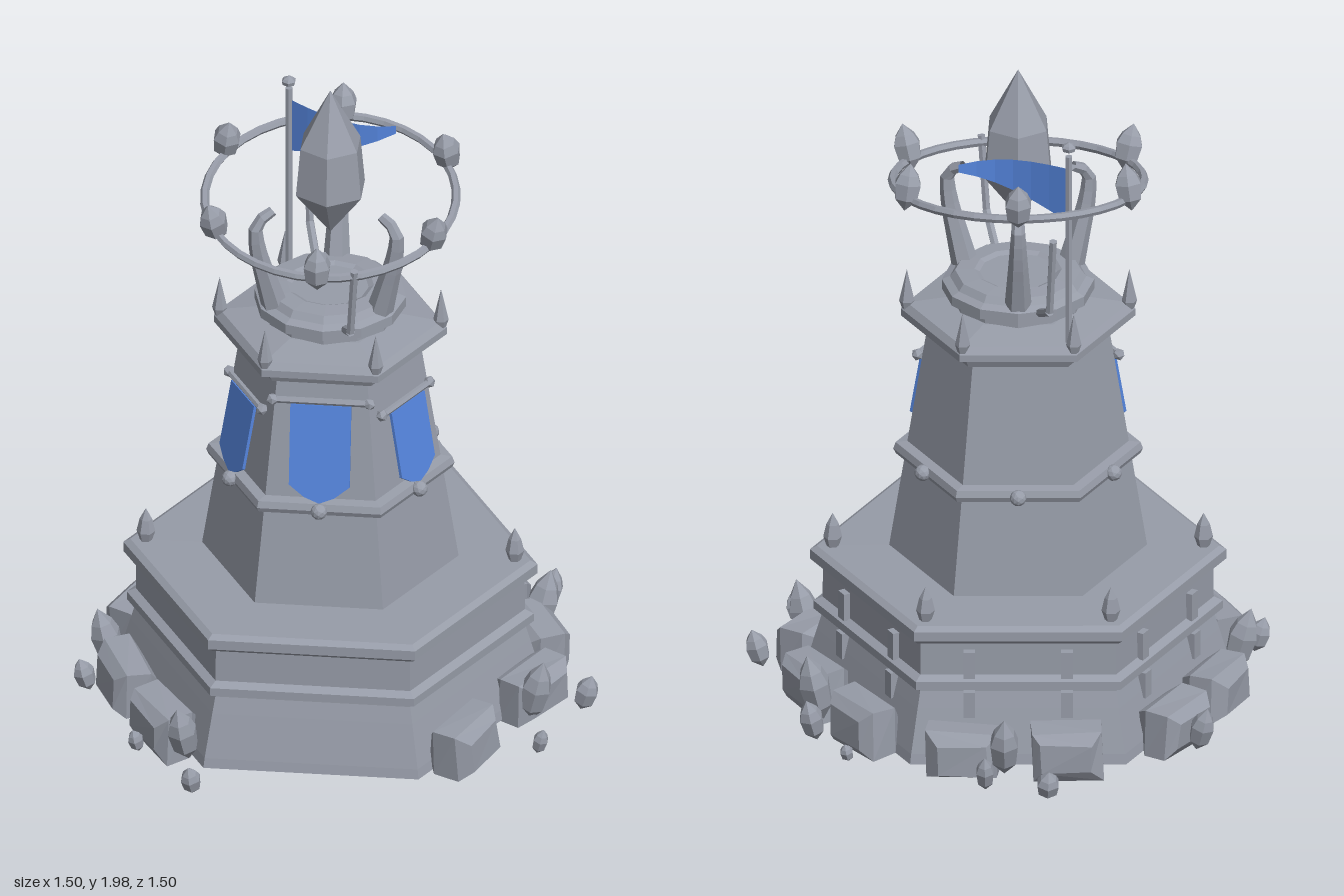
import * as THREE from 'three';

const stone = new THREE.MeshStandardMaterial({ color: 0x979ca8, flatShading: true, side: THREE.DoubleSide });
stone.name = 'stone grey';
const cloth = new THREE.MeshStandardMaterial({ color: 0x5585dd, flatShading: true, side: THREE.DoubleSide });
cloth.name = 'cloth blue';

function add(parent, name, geometry, material = stone, x = 0, y = 0, z = 0) {
  const mesh = new THREE.Mesh(geometry, material);
  mesh.name = name;
  mesh.position.set(x, y, z);
  parent.add(mesh);
  return mesh;
}

// Turned profile; hexagons get their corners on the x axis
function turned(profile, sides = 6, start = Math.PI / 2) {
  return new THREE.LatheGeometry(profile.map(([r, y]) => new THREE.Vector2(r, y)), sides, start);
}

// Pointed crystal, centred on its own height
function crystal(r, h) {
  return turned([[0, -h / 2], [r * 0.85, -h * 0.25], [r, h * 0.08], [r * 0.72, h * 0.27], [0, h / 2]], 6, 0);
}

// Tube along a path that narrows from r0 to r1
function taperedTube(points, r0, r1, segments = 9, sides = 6) {
  const curve = new THREE.CatmullRomCurve3(points.map((p) => new THREE.Vector3(...p)));
  const geo = new THREE.TubeGeometry(curve, segments, 1, sides);
  const pos = geo.attributes.position;
  const v = new THREE.Vector3();
  for (let i = 0; i < pos.count; i++) {
    const t = Math.floor(i / (sides + 1)) / segments;
    const c = curve.getPointAt(t);
    v.fromBufferAttribute(pos, i).sub(c).multiplyScalar(r0 + (r1 - r0) * t).add(c);
    pos.setXYZ(i, v.x, v.y, v.z);
  }
  return geo;
}

// Straight rod between two points
function rod(parent, name, a, b, r) {
  const p = new THREE.Vector3(...a), q = new THREE.Vector3(...b);
  const mesh = add(parent, name, new THREE.CylinderGeometry(r, r, p.distanceTo(q), 6));
  mesh.position.copy(p).add(q).multiplyScalar(0.5);
  mesh.quaternion.setFromUnitVectors(new THREE.Vector3(0, 1, 0), q.sub(p).normalize());
}

// Chipped block with bevelled edges
function boulder(w, h, d, seed) {
  const b = 0.03, x = w / 2 - b, y = h / 2 - b;
  const shape = new THREE.Shape([[-x, -y], [x, -y], [x, y], [-x, y]].map((p) => new THREE.Vector2(...p)));
  const geo = new THREE.ExtrudeGeometry(shape, { depth: d - 2 * b, bevelSize: b, bevelThickness: b, bevelSegments: 1 });
  geo.translate(0, 0, b - d / 2);
  const pos = geo.attributes.position;
  for (let i = 0; i < pos.count; i++) {
    const px = pos.getX(i), py = pos.getY(i), pz = pos.getZ(i);
    const n = Math.sin(px * 37 + py * 53 + pz * 71 + seed * 2.3) * 0.006;
    pos.setXYZ(i, px + n, py - n, pz + n * 0.7);
  }
  geo.computeVertexNormals();
  return geo;
}

function banner(parent, y, z, w, h, poleLength) {
  const g = new THREE.Group();
  g.name = 'banner';
  g.position.set(0, y, z);
  const shape = new THREE.Shape([[-w / 2, 0], [w / 2, 0], [w / 2, -h * 0.82], [w * 0.25, -h * 0.94], [0, -h],
    [-w * 0.25, -h * 0.94], [-w / 2, -h * 0.82]].map((p) => new THREE.Vector2(...p)));
  add(g, 'bannerCloth', new THREE.ExtrudeGeometry(shape, { depth: 0.009, bevelEnabled: false }), cloth).rotation.x = -0.18;
  rod(g, 'bannerPole', [-poleLength / 2, 0.01, 0], [poleLength / 2, 0.01, 0], 0.01);
  for (const s of [-1, 1]) add(g, 'poleKnob', new THREE.IcosahedronGeometry(0.018), stone, s * poleLength / 2, 0.01, 0);
  parent.add(g);
}

export function createModel() {
  const model = new THREE.Group();
  model.name = 'crystalTower';
  const tower = new THREE.Group();
  tower.name = 'tower';
  tower.position.set(-0.03, 0, 0.03);
  model.add(tower);

  // Hollow hexagonal base with flared foot, bands and deck
  add(tower, 'baseWall', turned([[0.618, 0.04], [0.612, 0.07], [0.575, 0.2], [0.56, 0.25], [0.557, 0.43]]));
  add(tower, 'baseBand', turned([[0.555, 0.255], [0.585, 0.265], [0.585, 0.29], [0.555, 0.305]]));
  add(tower, 'deck', turned([[0, 0.41], [0.575, 0.41], [0.595, 0.425], [0.595, 0.455], [0.575, 0.467], [0, 0.475]]));

  // Tapered shaft with band and cornice
  add(tower, 'shaft', turned([[0.37, 0.46], [0.258, 1.18]]));
  add(tower, 'shaftBand', turned([[0.31, 0.76], [0.35, 0.765], [0.357, 0.78], [0.35, 0.8], [0.31, 0.805]]));
  add(tower, 'cornice', turned([[0.25, 1.16], [0.285, 1.17], [0.3, 1.2], [0.335, 1.208], [0.335, 1.23], [0.318, 1.25], [0.2, 1.268], [0, 1.268]]));
  add(tower, 'crownDisc', turned([[0.19, 1.25], [0.19, 1.285], [0.218, 1.295], [0.218, 1.325], [0.195, 1.335], [0.18, 1.355],
    [0.125, 1.358], [0.11, 1.35], [0, 1.35]], 12));

  // Details repeated on the six faces
  for (let k = 0; k < 6; k++) {
    const face = new THREE.Group();
    face.name = 'towerFace';
    face.rotation.y = k * Math.PI / 3;
    tower.add(face);
    add(face, 'stud', new THREE.IcosahedronGeometry(0.024, 1), stone, 0, 0.783, 0.315);
    if (k === 0) banner(face, 1.105, 0.256, 0.175, 0.3, 0.28);
    if (k === 1 || k === 5) banner(face, 1.055, 0.266, 0.16, 0.25, 0.23);
    if (k >= 2 && k <= 4) {
      for (const x of [-0.14, 0.14]) {
        add(face, 'rib', new THREE.BoxGeometry(0.034, 0.085, 0.03), stone, x, 0.34, 0.488);
        add(face, 'rib', new THREE.BoxGeometry(0.034, 0.08, 0.03), stone, x, 0.217, 0.496);
      }
    }
  }

  // Spikes on the corners of cornice and deck
  for (let k = 0; k < 6; k++) {
    const a = k * Math.PI / 3, c = Math.cos(a), s = Math.sin(a);
    add(tower, 'corniceSpike', turned([[0.014, 0], [0.022, 0.025], [0, 0.125]], 6), stone, c * 0.318, 1.232, s * 0.318);
    if (k === 0 || k > 2) {
      add(tower, 'deckSpike', turned([[0.016, 0], [0.027, 0.035], [0.018, 0.075], [0, 0.11]], 6), stone, c * 0.53, 0.462, s * 0.53);
    }
  }

  // Curved horns cradling the crystal
  for (let k = 0; k < 3; k++) {
    const horn = add(tower, 'horn', taperedTube([[0, 1.33, 0.175], [0, 1.42, 0.2], [0, 1.52, 0.226], [0, 1.61, 0.23],
      [0, 1.643, 0.18]], 0.039, 0.015));
    horn.rotation.y = Math.PI + k * Math.PI * 2 / 3;
  }

  // Bent arms reaching to the ring
  const arms = [[[0.06, 1.315, 0.18], [0.09, 1.385, 0.31], [0.105, 1.61, 0.345]],
    [[-0.06, 1.315, -0.19], [-0.09, 1.375, -0.3], [-0.1, 1.62, -0.335]]];
  for (const [a, b, c] of arms) {
    rod(tower, 'armFoot', a, b, 0.013);
    rod(tower, 'armPost', b, c, 0.012);
  }

  // Floating crystal
  add(tower, 'mainCrystal', turned([[0, 1.53], [0.108, 1.675], [0.094, 1.825], [0, 2]], 6, 0));

  // Tilted ring with small crystals
  const ring = new THREE.Group();
  ring.name = 'ring';
  ring.position.y = 1.645;
  ring.rotation.x = 0.16;
  tower.add(ring);
  add(ring, 'ringHoop', new THREE.TorusGeometry(0.36, 0.013, 6, 36)).rotation.x = Math.PI / 2;
  for (let k = 0; k < 6; k++) {
    const pivot = new THREE.Group();
    pivot.name = 'ringCrystalMount';
    pivot.rotation.y = k * Math.PI / 3;
    ring.add(pivot);
    add(pivot, 'ringCrystal', crystal(0.042, 0.14), stone, 0, 0.038, 0.365).rotation.x = k % 2 ? 0.25 : -0.15;
  }

  // Flag on its pole
  rod(model, 'flagPole', [-0.175, 1.24, -0.22], [-0.175, 1.85, -0.22], 0.011);
  add(model, 'flagFinial', crystal(0.022, 0.035), stone, -0.175, 1.875, -0.215);
  const flag = new THREE.PlaneGeometry(1, 1, 6, 1);
  const fp = flag.attributes.position;
  for (let i = 0; i < fp.count; i++) {
    const t = fp.getX(i) + 0.5, top = fp.getY(i) > 0;
    fp.setXYZ(i, -0.17 + 0.31 * t, top ? 1.81 - 0.025 * t : 1.64 + 0.12 * t, -0.22 + 0.09 * Math.sin(t * 2.2));
  }
  add(model, 'flag', flag, cloth);

  // Boulders around the foot: x, z
  const boulders = [[-0.17, -0.55], [0.125, -0.55], [-0.475, -0.375], [0.41, -0.38], [-0.595, -0.155],
    [0.55, -0.13], [-0.595, 0.21], [0.56, 0.14], [-0.47, 0.435], [0.4, 0.445]];
  boulders.forEach(([x, z], i) => {
    const sector = Math.round(Math.atan2(x + 0.03, z - 0.03) / (Math.PI / 3));
    const rock = add(model, 'boulder', boulder(0.205, 0.145, 0.135, i), stone, x, 0.108, z);
    rock.rotation.set(0, sector * Math.PI / 3 + Math.sin(i * 5) * 0.1, Math.sin(i * 3) * 0.06);
  });

  // Crystals and shards on the ground: x, z, radius, height, centre height
  const shards = [[-0.115, -0.72, 0.035, 0.1, 0.085], [0.01, -0.61, 0.045, 0.2, 0.15], [0.065, -0.66, 0.028, 0.12, 0.09],
    [-0.555, -0.46, 0.036, 0.15, 0.13], [0.56, -0.385, 0.036, 0.14, 0.12], [0.46, -0.49, 0.02, 0.06, 0.07],
    [0.55, -0.25, 0.048, 0.22, 0.155], [-0.67, 0.06, 0.045, 0.2, 0.15], [-0.72, 0.185, 0.032, 0.11, 0.1],
    [0.715, 0.12, 0.035, 0.12, 0.09], [0.58, 0.225, 0.045, 0.21, 0.15], [0.61, 0.385, 0.023, 0.09, 0.08],
    [-0.54, 0.5, 0.023, 0.08, 0.08], [-0.4, 0.55, 0.044, 0.19, 0.14], [-0.36, 0.71, 0.03, 0.1, 0.085]];
  for (const [x, z, r, h, y] of shards) {
    const shard = add(model, 'groundCrystal', crystal(r, h), stone, x, y, z);
    shard.rotation.set(z * 0.4, 0, -x * 0.4);
  }
  return model;
}
